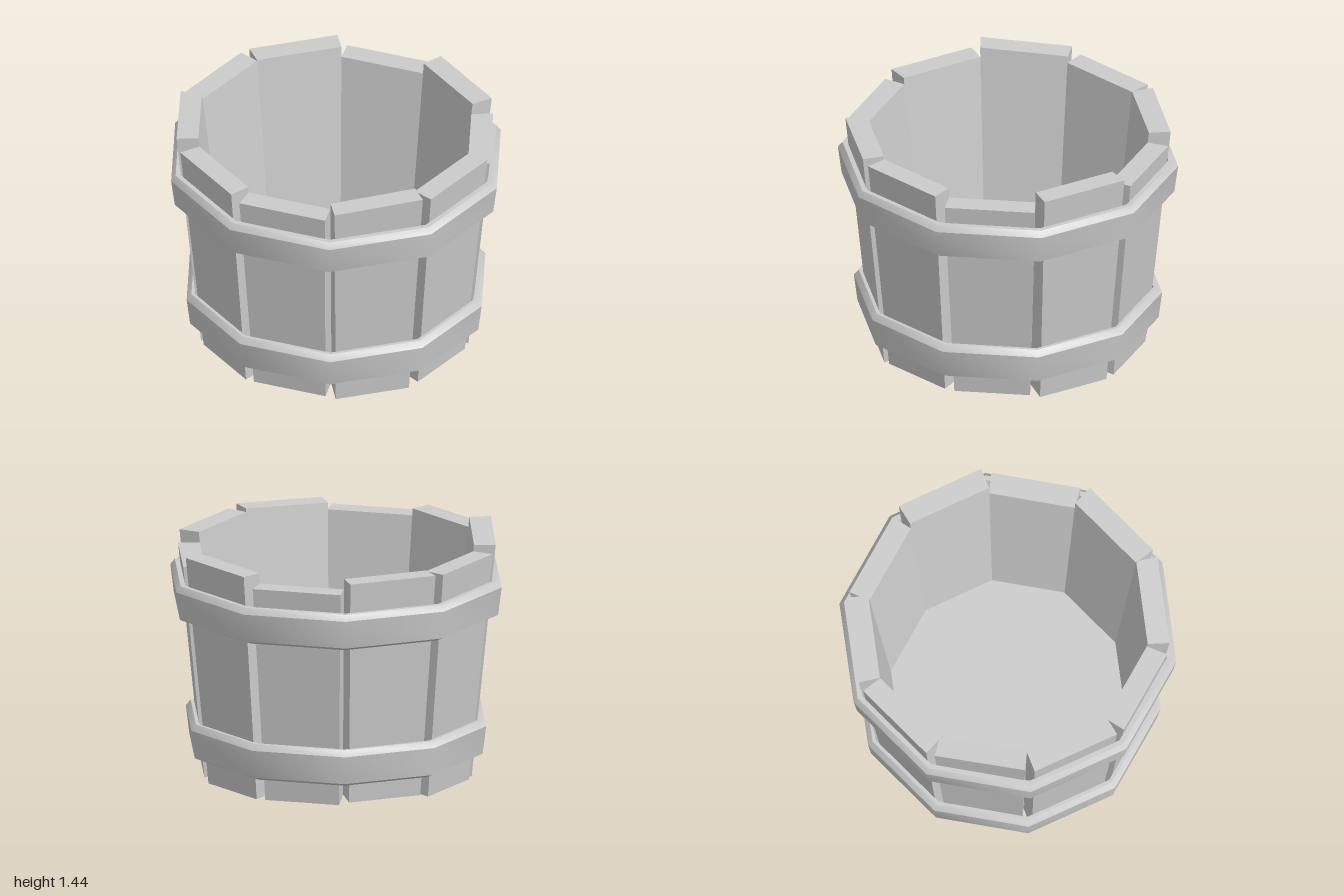
import * as THREE from 'three';
import { toCreasedNormals } from 'three/addons/utils/BufferGeometryUtils.js';

const material = new THREE.MeshStandardMaterial({ color: 0xcccccc });
const SIDES = 10;

// Leaning stave: wider at the top, inner edges meeting the neighbours
function staveGeometry(topA, topB, bottom) {
  const geo = new THREE.BoxGeometry(1, 1, 1).toNonIndexed();
  const p = geo.attributes.position;
  for (let i = 0; i < p.count; i++) {
    const sx = Math.sign(p.getX(i)), outer = p.getZ(i) > 0;
    const y = p.getY(i) > 0
      ? (sx < 0 ? topA : topB)
      : bottom + (outer ? 0 : 0.015);
    const t = y / 1.38;
    const half = outer ? 0.222 + 0.045 * t : 0.209 + 0.047 * t;
    const z = outer ? 0.78 + 0.135 * t : 0.643 + 0.145 * t;
    p.setXYZ(i, sx * half, y, z);
  }
  geo.computeVertexNormals();
  return geo;
}

// Ten-sided band turned from a closed profile, smooth around, sharp along its rims
function hoop(name, profile) {
  const points = [...profile, profile[0]].map(([r, y]) => new THREE.Vector2(r, y));
  const geo = toCreasedNormals(new THREE.LatheGeometry(points, SIDES), 0.68);
  const mesh = new THREE.Mesh(geo, material);
  mesh.name = name;
  return mesh;
}

// Floor board: the slice of the decagon between two z values
function floorBoard(z0, z1, radius) {
  const corners = [];
  for (let i = 0; i <= SIDES / 2; i++) {
    const a = (i / SIDES) * Math.PI * 2;
    corners.push([radius * Math.sin(a), radius * Math.cos(a)]);
  }
  const halfWidth = (z) => {
    for (let i = 0; i < corners.length - 1; i++) {
      const [xa, za] = corners[i], [xb, zb] = corners[i + 1];
      if (z <= za && z >= zb) return xa + (xb - xa) * (za - z) / (za - zb);
    }
    return 0;
  };
  const inside = corners.map((c) => c[1]).filter((z) => z > z0 + 1e-4 && z < z1 - 1e-4);
  const levels = [z1, ...inside, z0];
  const right = levels.map((z) => new THREE.Vector2(halfWidth(z), -z));
  const left = levels.map((z) => new THREE.Vector2(-halfWidth(z), -z)).reverse();
  const outline = [...right, ...left].filter((v, i, all) => i === 0 || v.distanceTo(all[i - 1]) > 1e-5);
  const geo = new THREE.ExtrudeGeometry(new THREE.Shape(outline), { depth: 0.04, bevelEnabled: false });
  return geo.rotateX(-Math.PI / 2);
}

export function createModel() {
  const bucket = new THREE.Group();
  bucket.name = 'woodenBucket';

  // Staves, going round from the front: top heights at both ends, bottom height
  const staves = new THREE.Group();
  staves.name = 'staves';
  const cuts = [
    [1.375, 1.375, 0.02], [1.31, 1.31, 0.02], [1.38, 1.38, 0], [1.315, 1.315, 0.005],
    [1.38, 1.38, 0.02], [1.375, 1.375, 0], [1.415, 1.44, 0], [1.38, 1.38, 0.01],
    [1.34, 1.34, 0.02], [1.38, 1.395, 0],
  ];
  cuts.forEach((cut, i) => {
    const stave = new THREE.Mesh(staveGeometry(...cut), material);
    stave.name = `stave${i + 1}`;
    stave.rotation.y = ((i + 0.5) / SIDES) * Math.PI * 2;
    staves.add(stave);
  });
  bucket.add(staves);

  // Hoops
  bucket.add(hoop('upperHoop', [[0.922, 0.975], [0.978, 1.0], [1.0, 1.168], [0.973, 1.203], [0.942, 1.203]]));
  bucket.add(hoop('lowerHoop', [[0.832, 0.128], [0.885, 0.152], [0.906, 0.32], [0.877, 0.355], [0.855, 0.355]]));

  // Floor of three boards
  const floor = new THREE.Group();
  floor.name = 'floor';
  const seams = [-0.7, -0.265, 0.25, 0.7];
  for (let i = 0; i < 3; i++) {
    const board = new THREE.Mesh(floorBoard(seams[i], seams[i + 1], 0.7), material);
    board.name = `floorBoard${i + 1}`;
    board.position.y = 0.13;
    floor.add(board);
  }
  bucket.add(floor);

  return bucket;
}
